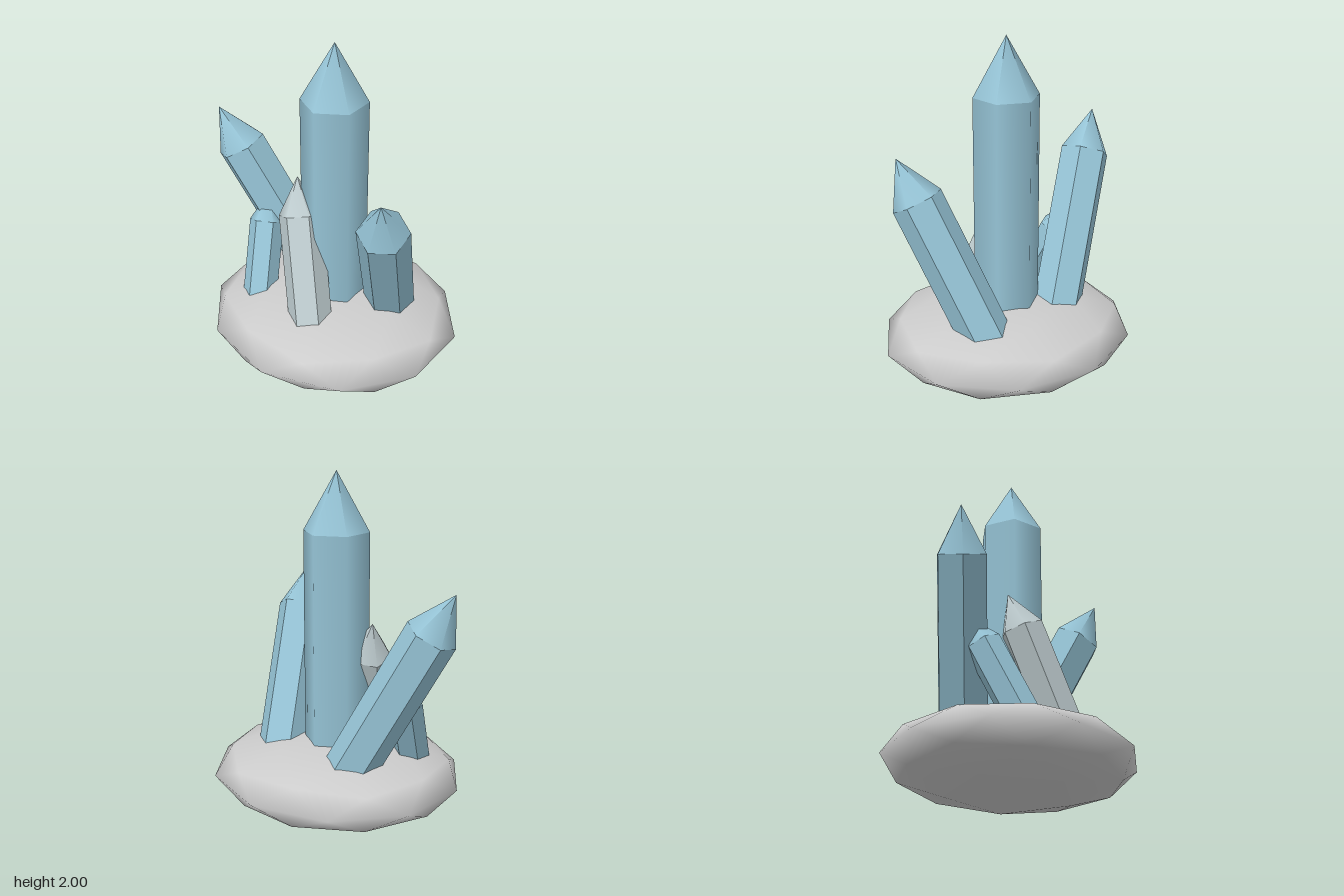
import * as THREE from 'three';
import { toCreasedNormals } from 'three/addons/utils/BufferGeometryUtils.js';

const UP = new THREE.Vector3(0, 1, 0);
const FLOOR = 0.25; // height inside the rock where the shafts start

// Six-sided crystal: shoulder is the centre of the shaft's top, axis points to the tip
function crystal(name, { shoulder, axis, radius, tip, material, faceted = true }) {
  const group = new THREE.Group();
  group.name = name;
  const dir = new THREE.Vector3(...axis).normalize();
  const length = (shoulder[1] - FLOOR) / dir.y;

  let shaftGeo = new THREE.CylinderGeometry(radius, radius, length, 6, 1, true);
  shaftGeo.translate(0, -length / 2, 0);
  if (faceted) shaftGeo = toCreasedNormals(shaftGeo, 0.9);
  const shaft = new THREE.Mesh(shaftGeo, material);
  shaft.name = name + 'Shaft';

  const tipGeo = new THREE.ConeGeometry(radius, tip, 6, 1, true);
  tipGeo.translate(0, tip / 2, 0);
  const point = new THREE.Mesh(tipGeo, material);
  point.name = name + 'Tip';

  group.add(shaft, point);
  group.position.set(...shoulder);
  group.quaternion.setFromUnitVectors(UP, dir);
  return group;
}

export function createModel() {
  const model = new THREE.Group();
  model.name = 'crystalCluster';

  const grey = new THREE.MeshStandardMaterial({ color: 0xcccccc });
  const blue = new THREE.MeshStandardMaterial({ color: 0x96c4d6, side: THREE.DoubleSide });
  const pale = new THREE.MeshStandardMaterial({ color: 0xbfcdd0, side: THREE.DoubleSide });

  // Flattened rock base: icosphere with a corner turned to the top
  const rockGeo = new THREE.IcosahedronGeometry(1, 1);
  rockGeo.rotateZ(-Math.atan(2 / (1 + Math.sqrt(5))));
  rockGeo.scale(0.767, 0.217, 0.705);
  const rock = new THREE.Mesh(rockGeo, grey);
  rock.name = 'rockBase';
  rock.position.set(0.03, 0.222, 0);
  model.add(rock);

  // Crystals
  model.add(
    crystal('mainCrystal', {
      shoulder: [0.03, 1.66, 0], axis: [0, 1, 0], radius: 0.192, tip: 0.34, material: blue, faceted: false,
    }),
    crystal('leftCrystal', {
      shoulder: [0.51, 1.105, 0.217], axis: [0.2, 0.886, 0.42], radius: 0.149, tip: 0.265, material: blue,
    }),
    crystal('rightCrystal', {
      shoulder: [-0.645, 1.18, 0.015], axis: [-0.44, 0.877, 0.195], radius: 0.149, tip: 0.265, material: blue,
    }),
    crystal('paleCrystal', {
      shoulder: [-0.115, 0.94, 0.13], axis: [-0.295, 0.92, -0.258], radius: 0.128, tip: 0.22, material: pale,
    }),
    crystal('smallCrystal', {
      shoulder: [-0.44, 0.73, 0.05], axis: [-0.18, 0.89, -0.41], radius: 0.103, tip: 0.18, material: blue,
    }),
  );
  return model;
}
